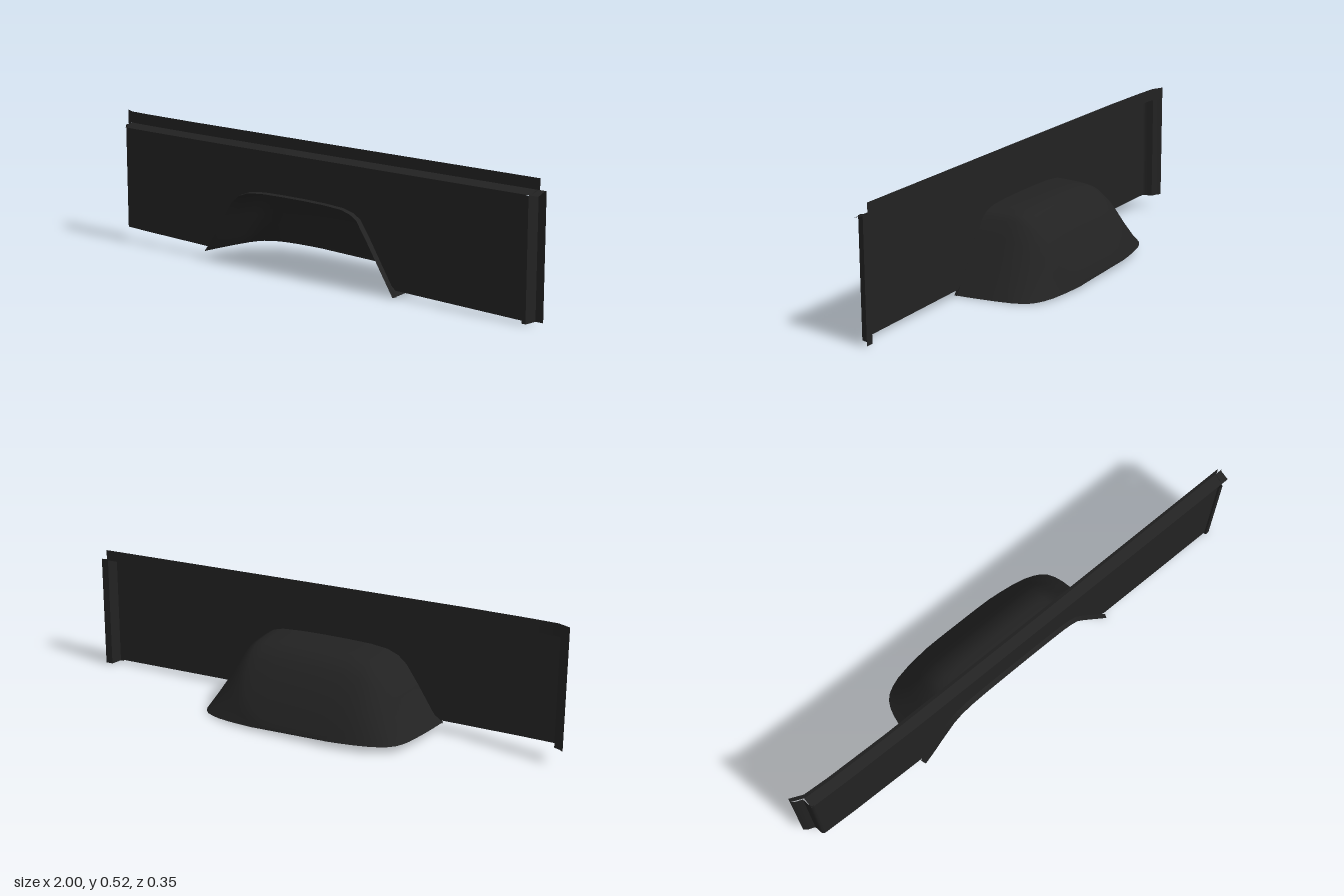
import * as THREE from 'three';

const material = new THREE.MeshStandardMaterial({ color: 0x222222, side: THREE.DoubleSide });

// Piecewise linear lookup in a list of [key, value] points
function lerpTable(table, k) {
  if (k <= table[0][0]) return table[0][1];
  for (let i = 1; i < table.length; i++) {
    const [a, va] = table[i - 1], [b, vb] = table[i];
    if (k <= b) return va + (vb - va) * (k - a) / (b - a);
  }
  return table[table.length - 1][1];
}

// Skin a sheet through rows of [x, y, z] points
function loft(name, rows, flat = false) {
  const n = rows[0].length, index = [];
  for (let i = 0; i < rows.length - 1; i++) {
    for (let j = 0; j < n - 1; j++) {
      const a = i * n + j, b = a + n;
      index.push(a, b, a + 1, b, b + 1, a + 1);
    }
  }
  let geometry = new THREE.BufferGeometry();
  geometry.setAttribute('position', new THREE.Float32BufferAttribute(rows.flat(2), 3));
  geometry.setIndex(index);
  if (flat) geometry = geometry.toNonIndexed();
  geometry.computeVertexNormals();
  const mesh = new THREE.Mesh(geometry, material);
  mesh.name = name;
  return mesh;
}

// Wheel opening outline, x against y
const arch = [
  [-0.495, 0.035], [-0.46, 0.08], [-0.4, 0.172], [-0.35, 0.243], [-0.315, 0.272], [-0.27, 0.289],
  [-0.2, 0.296], [-0.1, 0.297], [0, 0.296], [0.1, 0.293], [0.18, 0.287], [0.22, 0.276],
  [0.25, 0.258], [0.29, 0.2], [0.35, 0.105], [0.415, 0.003],
];
// Depth of the outer face and of the set-back upper flange along x
const faceTable = [[-0.96, 0.143], [-0.8, 0.149], [-0.5, 0.155], [0, 0.158], [1, 0.163]];
const backTable = [[-1, 0.082], [-0.985, 0.094], [-0.96, 0.104], [-0.85, 0.111], [-0.6, 0.118], [0, 0.121], [1, 0.122]];
const face = x => lerpTable(faceTable, x);
const back = x => lerpTable(backTable, x);
const bottom = x => 0.0375 - 0.025 * x;
const ledgeFront = x => 0.451 - 0.0142 * x;
const ledgeBack = x => 0.465 - 0.015 * x;
const flangeTop = x => 0.507 - 0.0178 * x;
const humpBase = x => 0.018 - 0.035 * x;

function columns(from, to) {
  const xs = [from, to, ...arch.map(p => p[0])];
  for (let i = 1; i < 40; i++) xs.push(from + (to - from) * i / 40);
  return xs.sort((a, b) => a - b);
}

export function createModel() {
  const group = new THREE.Group();
  group.name = 'bedSidePanel';

  // Main sheet, cut away above the wheel opening
  group.add(loft('sidePanel', columns(-0.945, 0.95).map(x => {
    const inArch = x >= arch[0][0] && x <= arch[arch.length - 1][0];
    const low = inArch ? Math.max(bottom(x), lerpTable(arch, x)) : bottom(x);
    return [[x, low, face(x)], [x, ledgeFront(x), face(x)]];
  })));

  // Sloping ledge and the upright flange behind it
  group.add(loft('topLedge', columns(-0.955, 0.995).map(x =>
    [[x, ledgeFront(x), face(x)], [x, ledgeBack(x), back(x)]])));
  group.add(loft('topFlange', columns(-1, 0.975).map(x =>
    [[x, ledgeBack(x) - 0.003, back(x)], [x, flangeTop(x), back(x)]])));

  // Rounded fold and set-back strip at the right end
  const fold = [[-0.945, face(-0.945)], [-0.952, 0.141], [-0.956, 0.134], [-0.958, 0.12], [-0.96, back(-0.96)]];
  group.add(loft('rightEndFold', fold.map(([x, z]) => [[x, bottom(x), z], [x, ledgeBack(x) - 0.004, z]])));
  const strip = [-0.96, -0.97, -0.985, -0.993, -1];
  group.add(loft('rightEndStrip', strip.map(x => [[x, bottom(x), back(x)], [x, ledgeBack(x), back(x)]])));

  // Stepped post at the left end
  const post = [[0.945, face(0.945)], [0.947, 0.17], [0.962, 0.17], [0.964, 0.162], [0.968, 0.135], [0.97, 0.122], [1, 0.122]];
  group.add(loft('leftEndPost', post.map(([x, z]) =>
    [[x, 0.006, z], [x, z > 0.15 ? ledgeFront(x) : ledgeBack(x), z]]), true));

  // Wheel housing: arches that shrink toward the inside, [z, height scale, width scale]
  const slices = [
    [0.176, 1, 1], [0.12, 1, 0.99], [0.06, 0.995, 0.975], [0.03, 0.985, 0.967], [0.01, 0.965, 0.96],
    [-0.01, 0.93, 0.953], [-0.03, 0.875, 0.945], [-0.05, 0.81, 0.937], [-0.08, 0.67, 0.915],
    [-0.105, 0.53, 0.885], [-0.125, 0.405, 0.84], [-0.14, 0.3, 0.78], [-0.153, 0.205, 0.7],
    [-0.164, 0.12, 0.58], [-0.171, 0.06, 0.46], [-0.176, 0.015, 0.34], [-0.175, 0, 0.33],
  ];
  const middle = -0.04;
  group.add(loft('wheelHousing', slices.map(([z, h, w]) => arch.map(([ax, ay]) => {
    const x = middle + (ax - middle) * w;
    return [x, humpBase(x) + (ay - humpBase(ax)) * h, z];
  }))));

  // Narrow rim around the wheel opening
  group.add(loft('wheelOpeningRim', arch.map(([x, y], i) => {
    const [x0, y0] = arch[Math.max(i - 1, 0)], [x1, y1] = arch[Math.min(i + 1, arch.length - 1)];
    const len = Math.hypot(x1 - x0, y1 - y0);
    const ox = x - (y1 - y0) / len * 0.008, oy = y + (x1 - x0) / len * 0.003;
    return [[x, y, 0.176], [ox, oy, face(x)]];
  })));

  return group;
}
